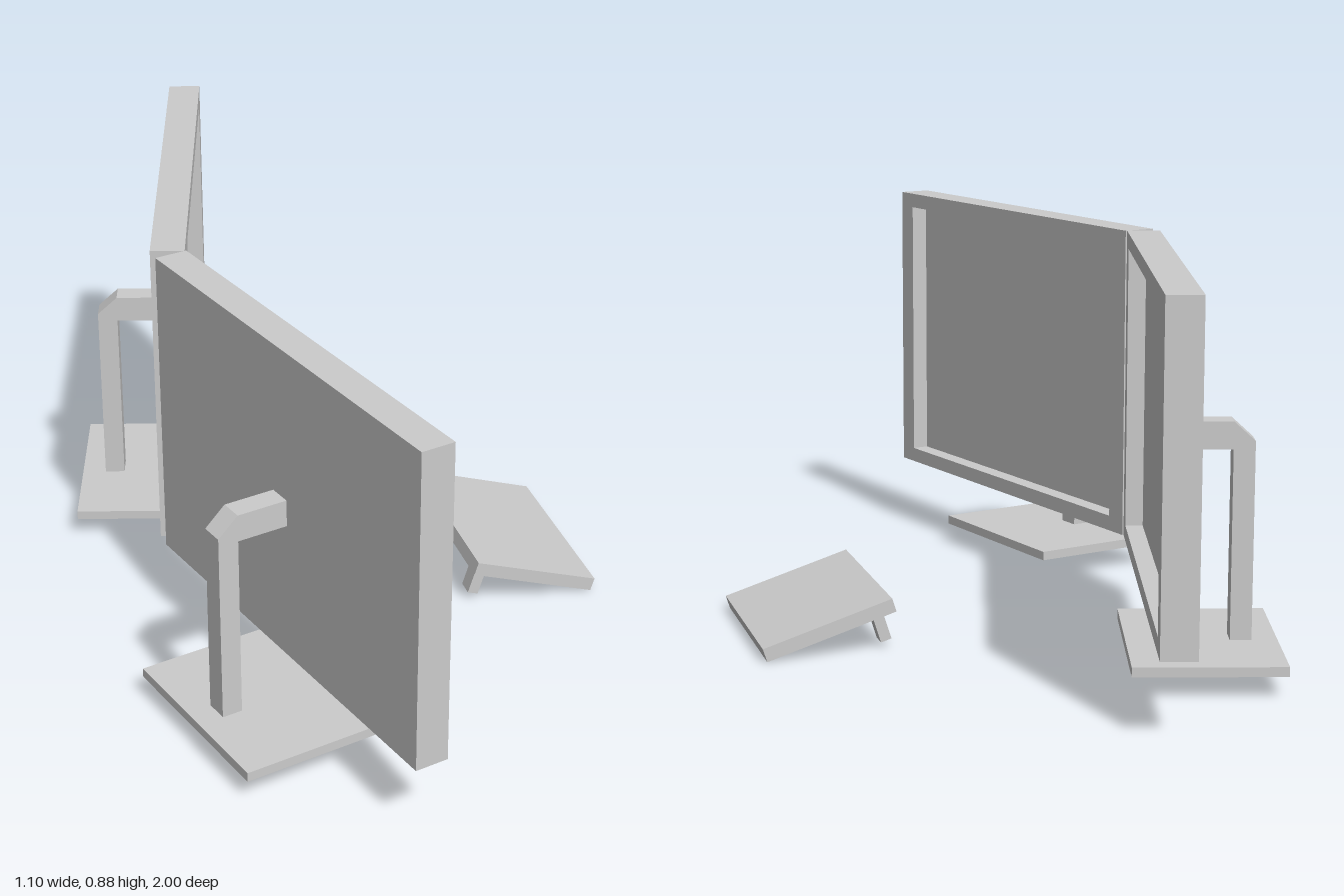
import * as THREE from 'three';

const material = new THREE.MeshStandardMaterial({ color: 0xcccccc, flatShading: true });

function part(name, geometry, x = 0, y = 0, z = 0) {
  const mesh = new THREE.Mesh(geometry, material);
  mesh.name = name;
  mesh.position.set(x, y, z);
  return mesh;
}

const box = (name, w, h, d, x, y, z) => part(name, new THREE.BoxGeometry(w, h, d), x, y, z);

function polygon(points, Type = THREE.Shape) {
  return new Type(points.map(([x, y]) => new THREE.Vector2(x, y)));
}

const rectangle = (w, h) => [[-w / 2, -h / 2], [w / 2, -h / 2], [w / 2, h / 2], [-w / 2, h / 2]];

const extrude = (shape, depth) => new THREE.ExtrudeGeometry(shape, { depth, bevelEnabled: false });

// A monitor whose screen faces local +z
function createMonitor(name) {
  const monitor = new THREE.Group();
  monitor.name = name;
  const width = 1.018, height = 0.709, midY = 0.5255, half = 0.0375, recess = 0.04;

  // Rear housing, whose front face is the sunken screen
  const rear = 2 * half - recess;
  monitor.add(box('screenHousing', width, height, rear, 0, midY, -half + rear / 2));

  // Raised bezel around the screen
  const bezel = polygon(rectangle(width, height));
  bezel.holes.push(polygon(rectangle(width - 0.108, height - 0.07).reverse(), THREE.Path));
  monitor.add(part('bezel', extrude(bezel, recess), 0, midY, half - recess));

  // Bent neck: side profile (z, y) extruded across the width
  const neckWidth = 0.053;
  const neck = part('neck', extrude(polygon([
    [-0.198, 0.073], [-0.152, 0.073], [-0.152, 0.485], [-half, 0.485],
    [-half, 0.545], [-0.152, 0.545], [-0.198, 0.503],
  ]), neckWidth), neckWidth / 2);
  neck.rotation.y = -Math.PI / 2;
  monitor.add(neck);

  // Flat foot plate
  monitor.add(box('footPlate', 0.447, 0.021, 0.323, 0, 0.0625, -0.092));
  return monitor;
}

// Sloping keyboard held up by two short legs
function createKeyboard() {
  const keyboard = new THREE.Group();
  keyboard.name = 'keyboard';
  keyboard.add(box('keyboardSlab', 0.301, 0.031, 0.453, 0, 0, 0));
  for (const side of [-1, 1]) {
    keyboard.add(box('keyboardLeg', 0.025, 0.069, 0.04, -0.115, -0.05, side * 0.163));
  }
  keyboard.position.set(0.4035, 0.0635, -0.002);
  keyboard.rotation.z = THREE.MathUtils.degToRad(-17.6);
  return keyboard;
}

export function createModel() {
  const model = new THREE.Group();
  model.name = 'dualMonitorDesk';

  // Two monitors angled towards each other
  const left = createMonitor('nearMonitor');
  left.position.set(-0.24, 0, 0.5);
  left.rotation.y = THREE.MathUtils.degToRad(90 + 15.7);
  const right = createMonitor('farMonitor');
  right.position.set(-0.247, 0, -0.5);
  right.rotation.y = THREE.MathUtils.degToRad(90 - 15.3);

  model.add(left, right, createKeyboard());
  return model;
}
